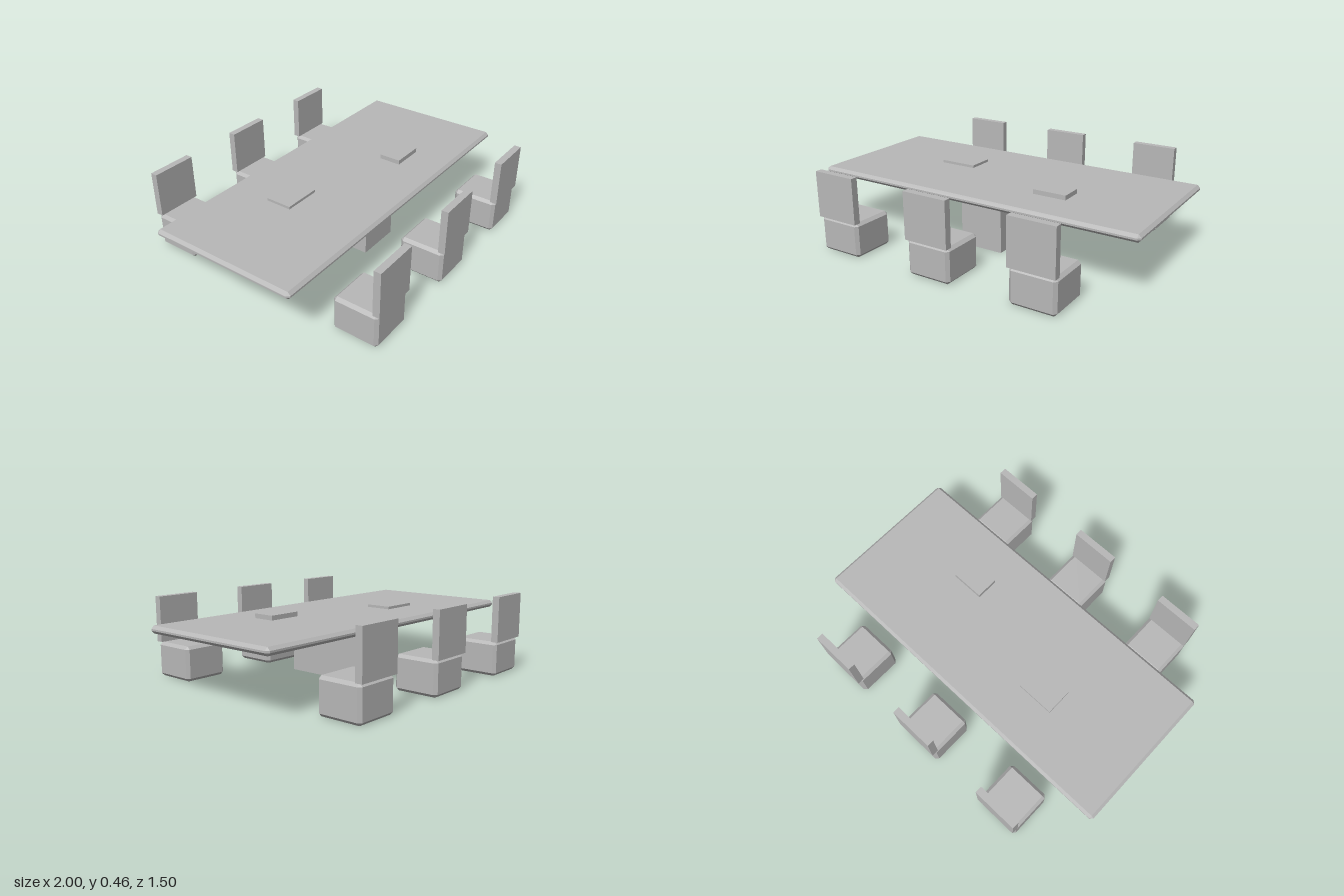
import * as THREE from 'three';
import { ConvexGeometry } from 'three/addons/geometries/ConvexGeometry.js';

const grey = new THREE.MeshStandardMaterial({ color: 0xb8b8b8 });
grey.name = 'plain grey';

// Box with every edge cut flat by c
function chamferedBox(w, h, d, c) {
  const points = [];
  const [a, b, e] = [w / 2, h / 2, d / 2];
  for (const x of [-1, 1]) for (const y of [-1, 1]) for (const z of [-1, 1]) {
    points.push(
      new THREE.Vector3(x * a, y * (b - c), z * (e - c)),
      new THREE.Vector3(x * (a - c), y * b, z * (e - c)),
      new THREE.Vector3(x * (a - c), y * (b - c), z * e));
  }
  return new ConvexGeometry(points);
}

function addPart(parent, name, geometry, x, y, z) {
  const mesh = new THREE.Mesh(geometry, grey);
  mesh.name = name;
  mesh.position.set(x, y, z);
  parent.add(mesh);
}

export function createModel() {
  const model = new THREE.Group();
  model.name = 'conferenceTableSet';

  // Table
  addPart(model, 'tableTop', chamferedBox(2, 0.042, 0.87, 0.016), 0, 0.339, 0);
  addPart(model, 'tablePedestal', new THREE.BoxGeometry(0.26, 0.318, 0.52), 0, 0.159, 0);

  // Items lying on the table
  addPart(model, 'folder', new THREE.BoxGeometry(0.22, 0.015, 0.154), -0.348, 0.3675, -0.086);
  addPart(model, 'book', new THREE.BoxGeometry(0.194, 0.026, 0.13), 0.392, 0.373, 0.132);

  // Three chairs along each long side, backs facing outwards
  const seat = chamferedBox(0.26, 0.198, 0.26, 0.017);
  const back = new THREE.BoxGeometry(0.26, 0.26, 0.04);
  for (const side of [1, -1]) {
    for (const column of [-1, 0, 1]) {
      const chair = new THREE.Group();
      chair.name = 'chair';
      addPart(chair, 'seat', seat, 0, 0.099, 0.61);
      addPart(chair, 'backrest', back, 0, 0.328, 0.731);
      chair.position.x = column * 0.608;
      chair.rotation.y = side > 0 ? 0 : Math.PI;
      model.add(chair);
    }
  }
  return model;
}
